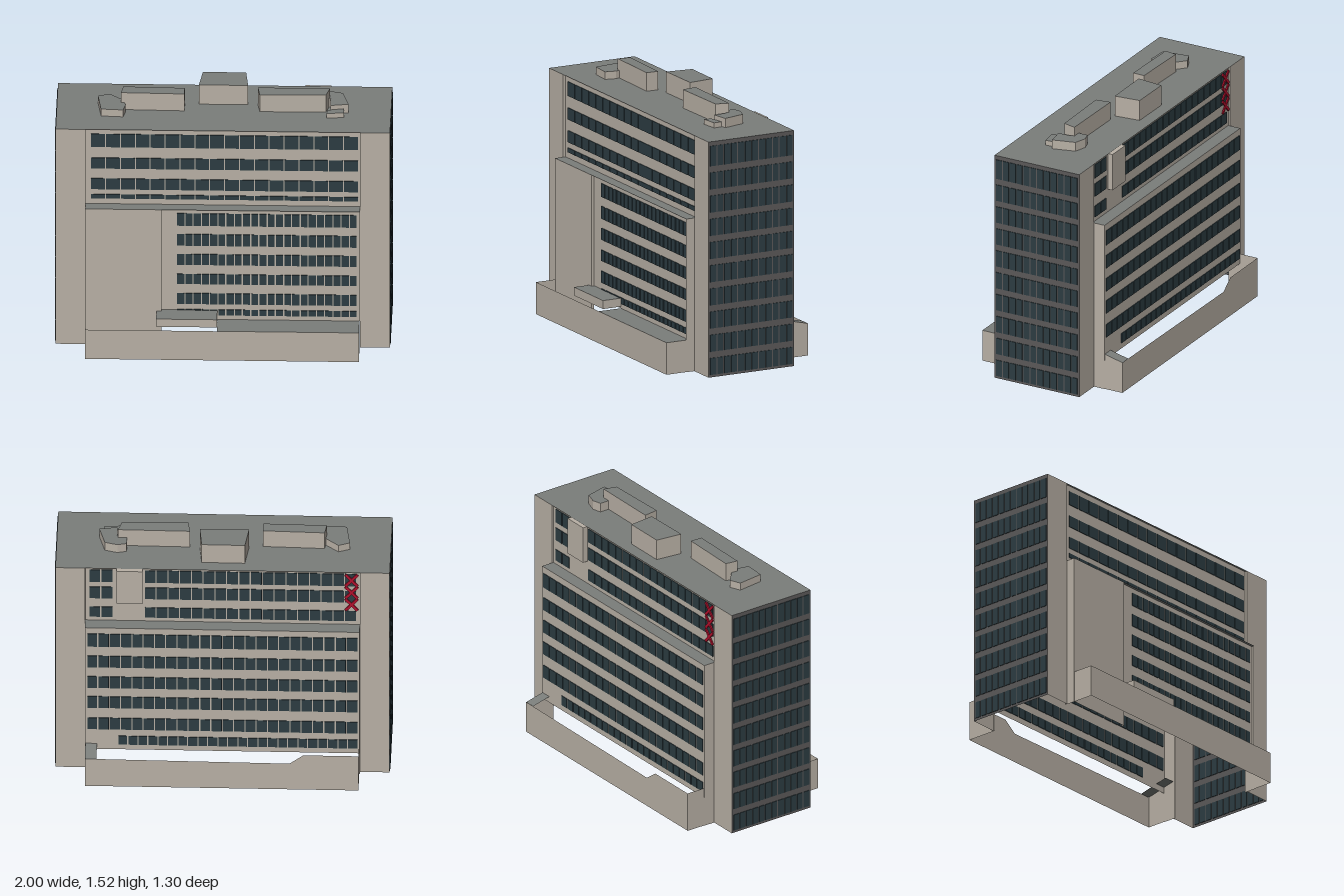
import * as THREE from 'three';
import { mergeGeometries } from 'three/addons/utils/BufferGeometryUtils.js';

const mat = (name, color) => {
  const m = new THREE.MeshStandardMaterial({ color, side: THREE.DoubleSide, flatShading: true });
  m.name = name;
  return m;
};

export function createModel() {
  const concrete = mat('beige concrete', 0xb8b0a5);
  const roofing = mat('grey roofing', 0x7b7e7b);
  const spandrel = mat('dark grey spandrel', 0x5b5959);
  const glass = mat('dark blue glass', 0x2c3c42);
  const red = mat('red paint', 0xb0102c);

  const model = new THREE.Group();
  model.name = 'officeBlock';
  // The slab building stands turned about the vertical axis
  const block = new THREE.Group();
  block.name = 'building';
  block.rotation.y = -0.2576;
  model.add(block);

  const add = (name, geo, material, parent = block) => {
    const m = new THREE.Mesh(geo, material);
    m.name = name;
    parent.add(m);
    return m;
  };
  // Vertical sheet between two plan points
  const wall = (name, [u0, v0], [u1, v1], y0, y1, material = concrete) => {
    const g = new THREE.PlaneGeometry(Math.hypot(u1 - u0, v1 - v0), y1 - y0);
    g.rotateY(-Math.atan2(v1 - v0, u1 - u0));
    g.translate((u0 + u1) / 2, (y0 + y1) / 2, (v0 + v1) / 2);
    return add(name, g, material);
  };
  // Horizontal sheet
  const deck = (name, u0, u1, v0, v1, y) => {
    const g = new THREE.PlaneGeometry(u1 - u0, v1 - v0).rotateX(-Math.PI / 2);
    return add(name, g.translate((u0 + u1) / 2, y, (v0 + v1) / 2), roofing);
  };
  const box = (name, u0, u1, y0, y1, v0, v1, material) => {
    const g = new THREE.BoxGeometry(u1 - u0, y1 - y0, v1 - v0);
    return add(name, g.translate((u0 + u1) / 2, (y0 + y1) / 2, (v0 + v1) / 2), material);
  };
  // Row of thin panes along u at depth v
  const paneRow = (u0, u1, y0, y1, v, n, gap) => {
    const panes = [];
    const step = (u1 - u0) / n;
    for (let i = 0; i < n; i++) {
      const g = new THREE.BoxGeometry(step - (i % 2 ? gap : gap * 0.6), y1 - y0, 0.008);
      panes.push(g.translate(u0 + step * (i + 0.5), (y0 + y1) / 2, v));
    }
    return mergeGeometries(panes);
  };

  const L = 0.9615, D = 0.28, S = 0.79;
  const frontUp = 0.265, frontLow = 0.333, frontWin = 0.315;
  const backUp = -0.27, backLow = -0.35;

  // End towers with glazed gable ends
  for (const s of [-1, 1]) {
    wall('towerFront', [s * S, D], [s * L, D], 0, 1.4);
    wall('towerBack', [s * S, -D], [s * L, -D], 0, 1.4);
    wall('gableEnd', [s * L, -D], [s * L, D], 0, 1.4, spandrel);
    for (let i = 0; i < 10; i++) {
      const y = 0.015 + i * 0.1378;
      const g = paneRow(-0.272, 0.272, y, y + (i === 9 ? 0.12 : 0.1), 0, 12, 0.009);
      add('gableWindows', g.rotateY(Math.PI / 2).translate(s * L, 0, 0), glass);
    }
    // Side returns of the projecting storeys
    wall('frontReturn', [s * S, frontUp], [s * S, frontLow], 0, 0.91);
    wall('frontRecess', [s * S, frontUp], [s * S, D], 0.91, 1.4);
    wall('backReturn', [s * S, backUp], [s * S, backLow], 0, 1.03);
    wall('backRecess', [s * S, backUp], [s * S, -D], 1.03, 1.4);
    wall('frontYardEnd', [s * 0.787, D], [s * 0.787, 0.46], 0, 0.19);
  }
  deck('mainRoof', -L, L, -D, D, 1.4);

  // Front facade: set-back upper storeys, ledge, projecting lower storeys
  wall('frontUpperWall', [-S, frontUp], [S, frontUp], 0.91, 1.4);
  deck('frontLedge', -S, S, frontUp, frontLow, 0.91);
  wall('frontBlankWall', [-S, frontLow], [-0.352, frontLow], 0, 0.91);
  wall('frontBlankReturn', [-0.352, frontLow], [-0.352, frontWin], 0, 0.91);
  wall('frontLowerWall', [-0.352, frontWin], [S, frontWin], 0.19, 0.91);
  for (const [a, b] of [[1.28, 1.365], [1.14, 1.21], [1.005, 1.075], [0.945, 0.972]])
    add('frontUpperWindows', paneRow(-0.76, 0.78, a, b, frontUp, 18, 0.007), glass);
  for (const [a, b] of [[0.8, 0.88], [0.67, 0.745], [0.545, 0.615], [0.42, 0.485], [0.29, 0.36], [0.218, 0.255]])
    add('frontLowerWindows', paneRow(-0.264, 0.776, a, b, frontWin, 22, 0.009), glass);

  // Back facade
  wall('backUpperWall', [-S, backUp], [S, backUp], 1.03, 1.4);
  deck('backLedge', -S, S, backLow, backUp, 1.03);
  wall('backLowerWall', [-S, backLow], [S, backLow], 0.18, 1.03);
  for (const [a, b] of [[1.3, 1.385], [1.185, 1.265], [1.055, 1.125]]) {
    add('backUpperWindows', paneRow(-0.77, 0.45, a, b, backUp, 18, 0.008), glass);
    add('backCornerWindows', paneRow(0.63, 0.77, a, b, backUp, 2, 0.008), glass);
  }
  for (const [a, b, end] of [[0.9, 0.99, 0.78], [0.755, 0.835, 0.78], [0.61, 0.69, 0.78],
    [0.47, 0.55, 0.78], [0.32, 0.4, 0.78], [0.215, 0.275, 0.6]])
    add('backLowerWindows', paneRow(-0.78, end, a, b, backLow, 24, 0.008), glass);
  box('backBlankPanel', 0.46, 0.61, 1.17, 1.395, -0.3, backUp, concrete);

  // Red crosses on the back
  for (const y of [1.345, 1.26, 1.175])
    for (const s of [-1, 1]) {
      const bar = add('redCrossBar', new THREE.BoxGeometry(0.105, 0.016, 0.008), red);
      bar.position.set(-0.742, y, -0.28);
      bar.rotation.z = s * 0.85;
    }

  // Front yard wall, terrace and entrance canopy
  wall('frontYardWall', [-0.787, 0.46], [0.787, 0.46], 0, 0.19);
  deck('frontTerrace', -0.03, 0.787, D, 0.46, 0.19);
  box('entranceCanopy', -0.38, -0.03, 0.2, 0.25, frontWin, 0.432, [concrete, concrete, roofing, roofing, concrete, concrete]);

  // Back yard wall, stepped up at one end
  const outline = (pts) => new THREE.Shape(pts.map(([x, y]) => new THREE.Vector2(x, y)));
  const yard = outline([[-0.787, 0], [0.787, 0], [0.787, 0.19], [-0.39, 0.18], [-0.47, 0.24], [-0.787, 0.24]]);
  add('backYardWall', new THREE.ShapeGeometry(yard).translate(0, 0, -0.466), concrete);
  wall('backYardEnd', [-0.787, -0.466], [-0.787, -D], 0, 0.24);
  const slopeEnd = outline([[0.28, 0], [0.466, 0], [0.466, 0.19], [0.28, 0.235]]);
  add('backAnnexEnd', new THREE.ShapeGeometry(slopeEnd).rotateY(Math.PI / 2).translate(0.787, 0, 0), concrete);
  const annexRoof = new THREE.PlaneGeometry(0.067, 0.191).rotateX(-Math.PI / 2 - 0.237);
  add('backAnnexRoof', annexRoof.rotateX(0.474).rotateX(-0.474 * 2 + 0.474).translate(0.7535, 0.2125, -0.373), roofing)
    .geometry.computeVertexNormals();
  // Make the annex roof fall away towards the yard wall
  const p = annexRoof.attributes.position;
  for (let i = 0; i < p.count; i++) p.setY(i, p.getZ(i) < -0.373 ? 0.19 : 0.235);
  annexRoof.computeVertexNormals();

  // Rooftop plant rooms, drawn in plan as x, z
  const plant = (name, pts, top) => {
    const shape = outline(pts.map(([x, z]) => [x, -z]));
    const g = new THREE.ExtrudeGeometry(shape, { depth: top - 1.4, bevelEnabled: false });
    add(name, g.rotateX(-Math.PI / 2).translate(0, 1.4, 0), [roofing, concrete], model);
  };
  plant('lowPlantRoom', [[-0.69, -0.23], [-0.62, -0.24], [-0.56, -0.15], [-0.56, -0.09], [-0.59, -0.03], [-0.71, -0.07]], 1.445);
  plant('longPlantRoomA', [[-0.55, -0.19], [-0.21, -0.09], [-0.23, -0.02], [-0.58, -0.12]], 1.51);
  plant('liftHouse', [[-0.07, -0.23], [0.17, -0.165], [0.145, -0.01], [-0.13, -0.08]], 1.525);
  plant('longPlantRoomB', [[0.2, 0], [0.6, 0.11], [0.56, 0.18], [0.19, 0.09]], 1.51);
  plant('hookedPlantRoom', [[0.565, 0.04], [0.62, 0.04], [0.685, 0.08], [0.685, 0.22], [0.58, 0.21], [0.6, 0.13], [0.55, 0.1]], 1.455);
  plant('smallVent', [[0.56, 0.215], [0.655, 0.22], [0.645, 0.27], [0.545, 0.255]], 1.43);

  return model;
}
